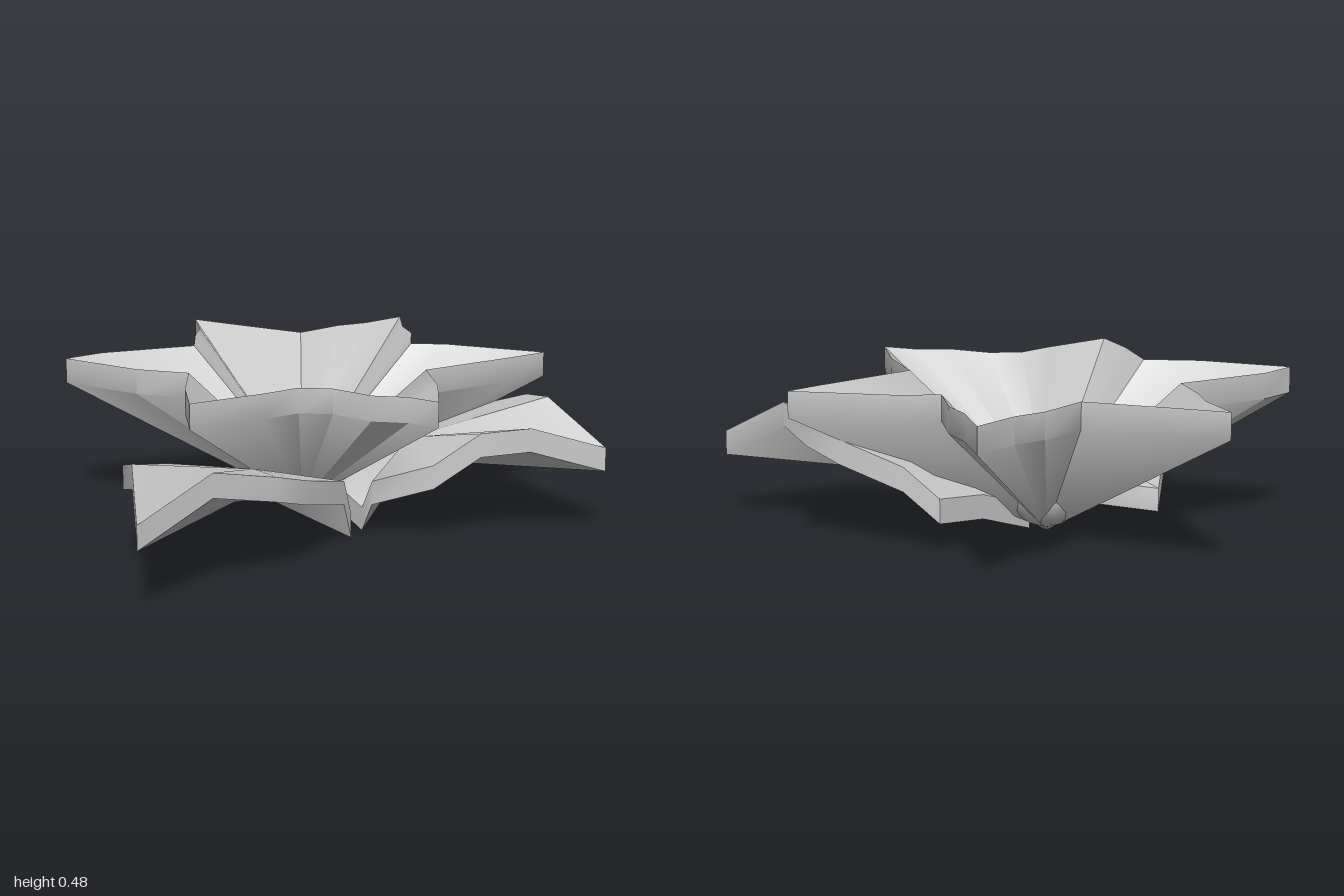
import * as THREE from 'three';
import { toCreasedNormals } from 'three/addons/utils/BufferGeometryUtils.js';

const material = new THREE.MeshStandardMaterial({ color: 0xcccccc });

// Thick petal sheet: a closed rim loop (counterclockwise from above) fanned to a
// centre point, doubled upwards by the thickness and joined by a rim wall.
function sheet(name, rim, centre, thickness) {
  const lift = ([x, y, z]) => [x, y + thickness, z];
  const positions = [];
  const tri = (...corners) => corners.forEach((p) => positions.push(...p));
  rim.forEach((a, i) => {
    const b = rim[(i + 1) % rim.length];
    const A = lift(a), B = lift(b);
    tri(lift(centre), A, B);
    tri(centre, b, a);
    tri(a, b, B);
    tri(a, B, A);
  });
  const geometry = new THREE.BufferGeometry();
  geometry.setAttribute('position', new THREE.Float32BufferAttribute(positions, 3));
  const mesh = new THREE.Mesh(toCreasedNormals(geometry, 0.85), material);
  mesh.name = name;
  return mesh;
}

export function createModel() {
  const group = new THREE.Group();
  group.name = 'flower';

  // Six-pointed blossom: flat star rim, funnel down to the base (x, z pairs)
  const star = [
    [-0.13, -1.0], [-0.055, -0.84], [0.013, -0.75], [0.077, -0.587],
    [0.187, -0.624], [0.525, -0.635], [0.46, -0.524], [0.27, -0.23],
    [0.383, -0.04], [0.465, 0.165], [0.36, 0.143], [0.25, 0.17],
    [0.108, 0.132], [0.008, 0.164], [-0.055, 0.277], [-0.198, 0.487],
    [-0.298, 0.323], [-0.393, 0.116], [-0.567, 0.137], [-0.853, 0.087],
    [-0.79, -0.037], [-0.567, -0.26], [-0.641, -0.413], [-0.678, -0.52],
    [-0.768, -0.66], [-0.594, -0.635], [-0.335, -0.603], [-0.266, -0.767],
    [-0.198, -0.85],
  ].reverse();
  group.add(sheet('blossom', star.map(([x, z]) => [x, 0.4, z]), [-0.155, 0, -0.22], 0.08));

  // Round pistil in the middle of the blossom
  const pistil = new THREE.Mesh(new THREE.SphereGeometry(0.125, 16, 12), material);
  pistil.name = 'pistil';
  pistil.position.set(-0.155, 0.14, -0.222);
  group.add(pistil);

  // Front leaf, arched up at the sides and pointed at the tip
  group.add(sheet('frontLeaf', [
    [-0.105, 0.18, 0.99], [0.005, 0.28, 0.74], [0.12, 0.235, 0.56],
    [0.15, 0.19, 0.41], [0.15, 0.12, 0.14], [0.15, 0, 0.085],
    [-0.03, 0.04, -0.02], [-0.15, 0, -0.2], [-0.28, 0.04, -0.02],
    [-0.45, 0, 0.085], [-0.457, 0.11, 0.14], [-0.42, 0.19, 0.465],
    [-0.37, 0.225, 0.59], [-0.25, 0.28, 0.75],
  ], [-0.15, 0.13, 0.155], 0.075));

  // Side leaf, shorter and tilted a little towards the back
  group.add(sheet('sideLeaf', [
    [0.85, 0.2, -0.28], [0.625, 0.32, -0.38], [0.51, 0.29, -0.51],
    [0.4, 0.25, -0.55], [0.2, 0.18, -0.565], [0.09, 0.09, -0.565],
    [0.0, 0.07, -0.4], [-0.1, 0, -0.21], [0.03, 0.04, -0.08],
    [0.15, 0, 0], [0.2, 0.1, 0.04], [0.4, 0.17, 0.03],
    [0.53, 0.27, -0.03], [0.655, 0.275, -0.135],
  ], [0.2, 0.17, -0.27], 0.075));

  return group;
}
